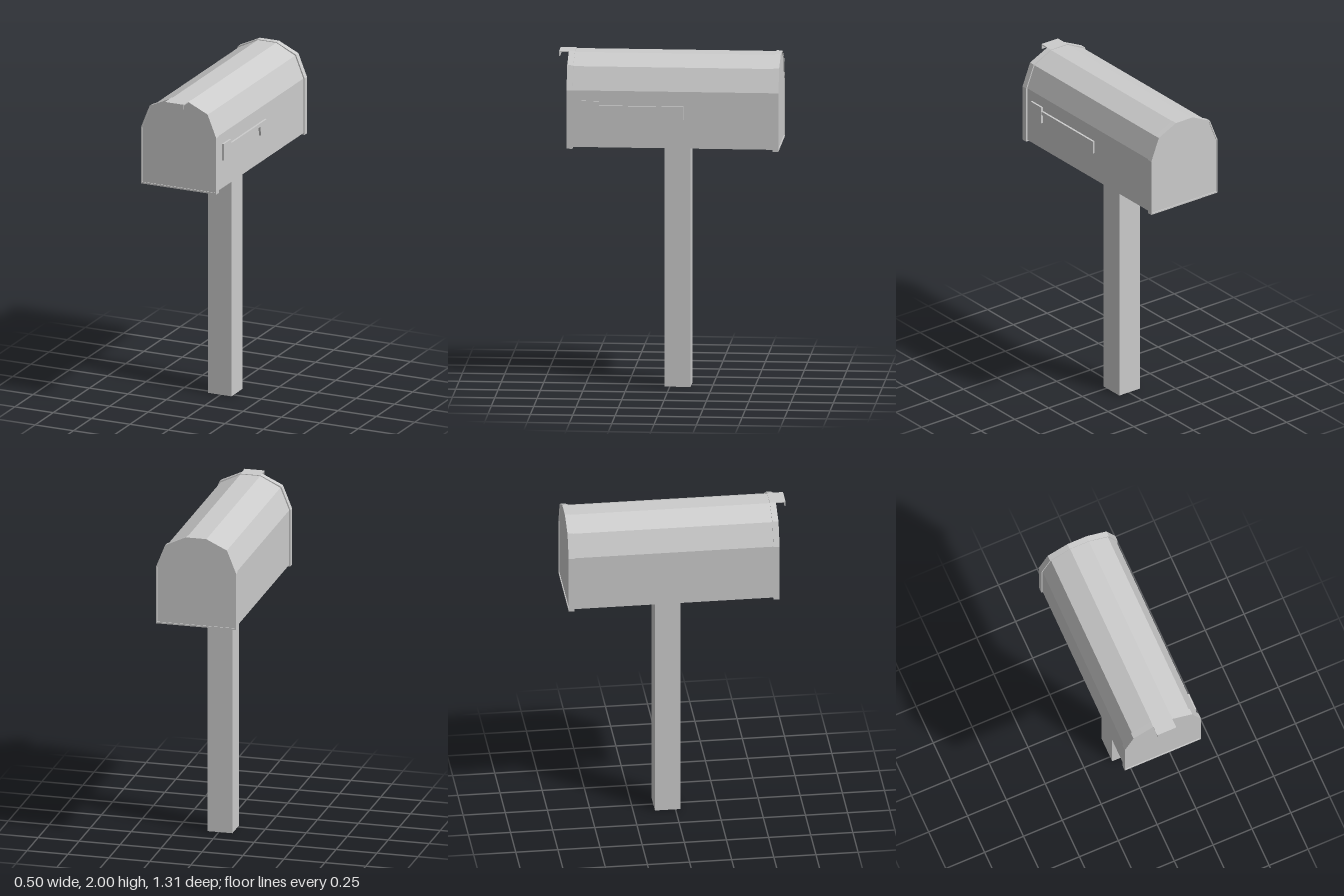
import * as THREE from 'three';

const material = new THREE.MeshStandardMaterial({ color: 0xcccccc, flatShading: true });
const CX = -0.006; // centre line of box and post

const toPoints = (list) => list.map(([x, y]) => new THREE.Vector2(x, y));

// Half of an arched outline, mirrored about the centre line
function archPoints(half) {
  const right = half.map(([x, y]) => [CX + x, y]);
  const left = half.map(([x, y]) => [CX - x, y]).reverse();
  return toPoints([...right, ...left]);
}

function extrude(shape, depth) {
  return new THREE.ExtrudeGeometry(shape, { depth, bevelEnabled: false });
}

export function createModel() {
  const model = new THREE.Group();
  model.name = 'mailbox';

  function add(name, geometry, x = 0, y = 0, z = 0) {
    const mesh = new THREE.Mesh(geometry, material);
    mesh.name = name;
    mesh.position.set(x, y, z);
    model.add(mesh);
    return mesh;
  }

  // Square post
  add('post', new THREE.BoxGeometry(0.153, 1.47, 0.153), CX, 0.735, -0.046);

  // Faceted arched body
  const outer = archPoints([[0.245, 1.45], [0.245, 1.8], [0.189, 1.94], [0.062, 2]]);
  const inner = archPoints([[0.237, 1.46], [0.237, 1.799], [0.183, 1.934], [0.06, 1.996]]);
  add('body', extrude(new THREE.Shape(inner), 1.242), 0, 0, -0.65);

  // Thin raised rims around the front door and the back
  const rim = new THREE.Shape(outer);
  rim.holes.push(new THREE.Path(inner));
  add('frontRim', extrude(rim, 0.036), 0, 0, 0.561);
  add('backRim', extrude(rim, 0.034), 0, 0, -0.655);

  // Door pull: flat tab with a turned-down lip
  add('doorTab', new THREE.BoxGeometry(0.122, 0.006, 0.07), CX, 1.997, 0.62);
  add('doorTabLip', new THREE.BoxGeometry(0.122, 0.03, 0.006), CX, 1.985, 0.652);

  // Signal flag on the left side, drawn as (-z, y) and turned to face +x
  const arm = new THREE.Shape(toPoints([
    [-0.41, 1.69], [0, 1.69], [0.012, 1.632], [0.093, 1.632], [0.093, 1.711], [-0.41, 1.711],
  ]));
  add('flagArm', extrude(arm, 0.013).rotateY(Math.PI / 2), 0.231);
  add('flagPlate', new THREE.BoxGeometry(0.012, 0.103, 0.102), 0.241, 1.687, 0.456);

  return model;
}
